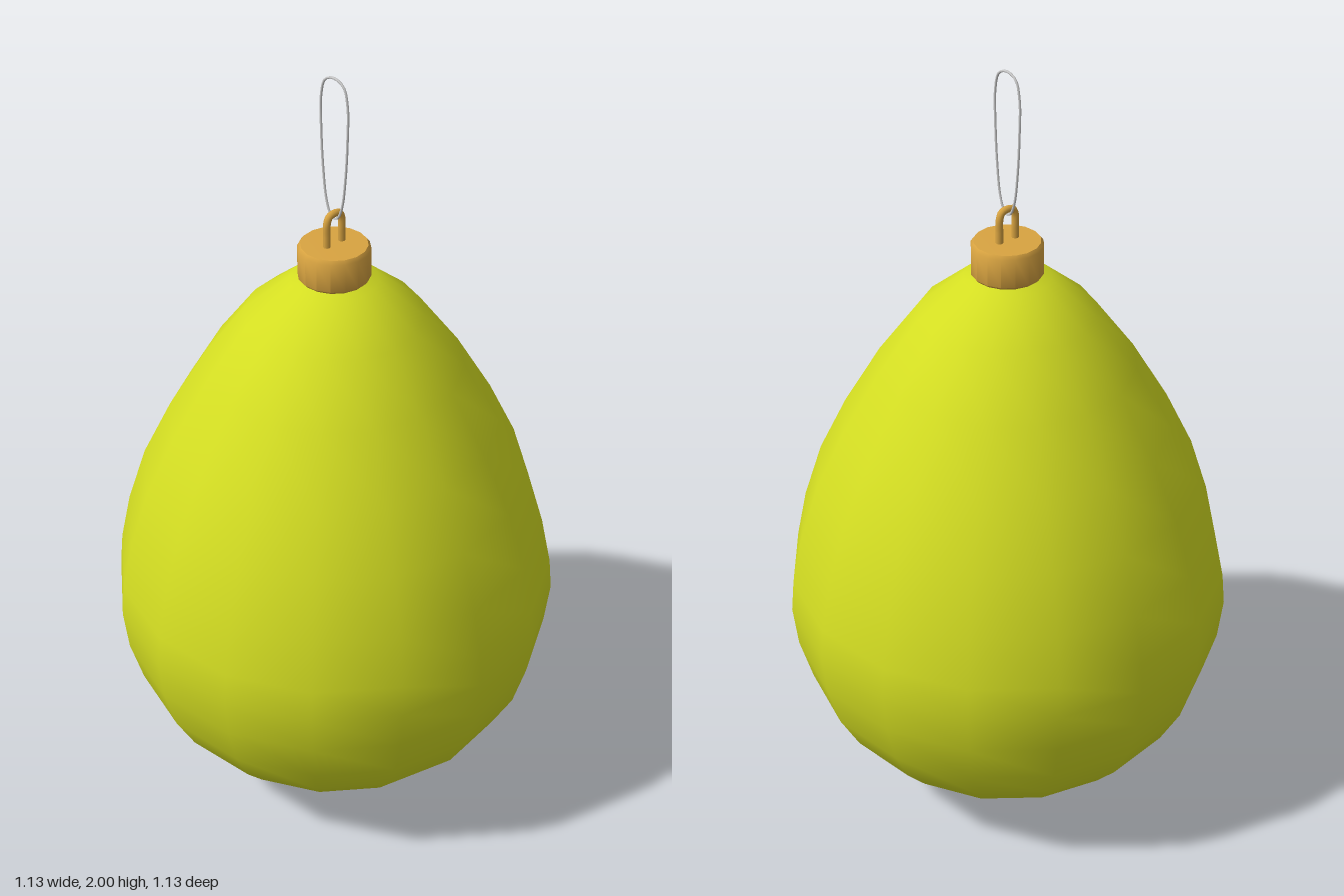
import * as THREE from 'three';
import { toCreasedNormals } from 'three/addons/utils/BufferGeometryUtils.js';

const SIDES = 16;
const TURN = -0.08; // slight twist of the facets about the vertical axis

const points2 = (list) => list.map(([x, y]) => new THREE.Vector2(x, y));
const points3 = (list) => list.map(([x, y, z]) => new THREE.Vector3(x, y, z));

function addMesh(group, name, geometry, material) {
  const mesh = new THREE.Mesh(geometry, material);
  mesh.name = name;
  group.add(mesh);
}

export function createModel() {
  const group = new THREE.Group();
  group.name = 'ornament';
  const green = new THREE.MeshStandardMaterial({ color: 0xd4de22 });
  const gold = new THREE.MeshStandardMaterial({ color: 0xd9a441 });
  const grey = new THREE.MeshStandardMaterial({ color: 0xcccccc });

  // Pear-shaped bauble, profile from bottom to top
  const body = points2([
    [0, 0.004], [0.108, 0.016], [0.214, 0.048], [0.316, 0.102], [0.402, 0.172],
    [0.47, 0.25], [0.523, 0.35], [0.555, 0.465], [0.567, 0.575], [0.559, 0.66],
    [0.532, 0.79], [0.484, 0.94], [0.412, 1.09], [0.319, 1.248], [0.218, 1.385],
    [0.107, 1.478], [0, 1.497],
  ]);
  addMesh(group, 'bauble', new THREE.LatheGeometry(body, SIDES, TURN), green);

  // Metal cap with small bevels
  const cap = points2([
    [0, 1.485], [0.083, 1.485], [0.088, 1.491], [0.088, 1.564], [0.081, 1.573], [0, 1.574],
  ]);
  addMesh(group, 'cap', toCreasedNormals(new THREE.LatheGeometry(cap, SIDES, TURN), 0.75), gold);

  // Staple on top of the cap
  const staple = new THREE.CatmullRomCurve3(points3([
    [-0.024, 1.56, 0], [-0.024, 1.6, 0], [-0.023, 1.637, 0], [-0.015, 1.651, 0],
    [0.015, 1.651, 0], [0.023, 1.637, 0], [0.024, 1.6, 0], [0.024, 1.56, 0],
  ]));
  addMesh(group, 'staple', new THREE.TubeGeometry(staple, 32, 0.009, 8), gold);

  // Thin hanging loop threaded under the staple
  const half = [[0.012, 1.646], [0.026, 1.68], [0.037, 1.76], [0.043, 1.86], [0.043, 1.94], [0.03, 1.985]];
  const loop = new THREE.CatmullRomCurve3(points3([
    [0, 1.64, 0],
    ...half.map(([z, y]) => [0, y, z]),
    [0, 1.997, 0],
    ...half.slice().reverse().map(([z, y]) => [0, y, -z]),
  ]), true);
  addMesh(group, 'hangingLoop', new THREE.TubeGeometry(loop, 64, 0.003, 6, true), grey);

  return group;
}
